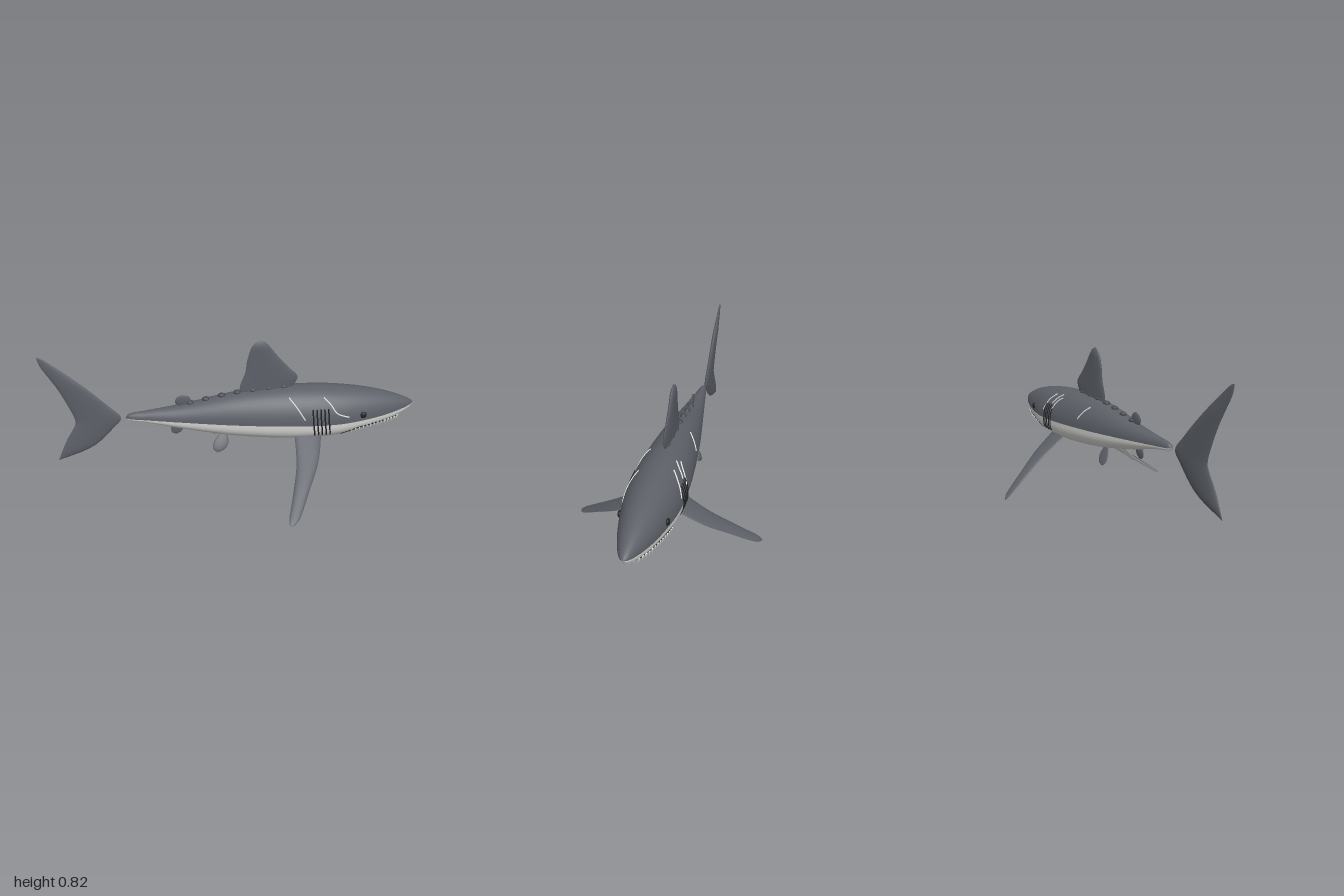
import * as THREE from 'three';

const mat = (name, color) => {
  const m = new THREE.MeshStandardMaterial({ color });
  m.name = name;
  return m;
};
const V3 = (x, y, z) => new THREE.Vector3(x, y, z);

// Body stations: x, top y, bottom y, half width, height of the colour line
const STATIONS = [
  [-0.578, 0.403, 0.403, 0, 0.403], [-0.56, 0.424, 0.39, 0.016, 0.402],
  [-0.47, 0.438, 0.377, 0.032, 0.398], [-0.27, 0.467, 0.333, 0.065, 0.39],
  [0, 0.52, 0.287, 0.108, 0.382], [0.28, 0.547, 0.264, 0.138, 0.376],
  [0.45, 0.548, 0.265, 0.144, 0.374], [0.58, 0.538, 0.276, 0.137, 0.375],
  [0.7, 0.522, 0.3, 0.116, 0.381], [0.8, 0.501, 0.325, 0.092, 0.389],
  [0.88, 0.478, 0.347, 0.067, 0.399], [0.95, 0.451, 0.376, 0.038, 0.41],
  [0.985, 0.432, 0.402, 0.017, 0.418], [0.996, 0.42, 0.42, 0, 0.42],
];

// Smooth interpolation through the stations
function profile(x) {
  const S = STATIONS, last = S.length - 1;
  let i = 0;
  while (i < last - 1 && x > S[i + 1][0]) i++;
  const h = S[i + 1][0] - S[i][0];
  const t = THREE.MathUtils.clamp((x - S[i][0]) / h, 0, 1);
  const slope = (k, c) => {
    const a = S[Math.max(k - 1, 0)], b = S[Math.min(k + 1, last)];
    return (b[c] - a[c]) / (b[0] - a[0]);
  };
  const [top, bottom, width, mid] = [1, 2, 3, 4].map((c) =>
    S[i][c] * (2 * t ** 3 - 3 * t * t + 1) + slope(i, c) * h * (t ** 3 - 2 * t * t + t) +
    S[i + 1][c] * (3 * t * t - 2 * t ** 3) + slope(i + 1, c) * h * (t ** 3 - t * t));
  return { top, bottom, width, mid };
}

// Point on the flank at a given x and y; side is +1 or -1
function onSkin(x, y, side) {
  const p = profile(x), up = y > p.mid, n = up ? 2 : 2.5;
  const s = Math.min(1, Math.abs(y - p.mid) / (up ? p.top - p.mid : p.mid - p.bottom));
  return V3(x, y, side * p.width * (1 - s ** n) ** (1 / n));
}

// Surface from a rule f(u, v)
function grid(nu, nv, f, flip = false) {
  const pos = [], index = [];
  for (let i = 0; i <= nu; i++)
    for (let j = 0; j <= nv; j++) pos.push(...f(i / nu, j / nv).toArray());
  for (let i = 0; i < nu; i++)
    for (let j = 0; j < nv; j++) {
      const a = i * (nv + 1) + j, b = a + nv + 1;
      if (flip) index.push(a, a + 1, b, b, a + 1, b + 1);
      else index.push(a, b, a + 1, b, b + 1, a + 1);
    }
  const g = new THREE.BufferGeometry();
  g.setAttribute('position', new THREE.Float32BufferAttribute(pos, 3));
  g.setIndex(index);
  g.computeVertexNormals();
  return g;
}

export function createModel() {
  const model = new THREE.Group();
  const back = mat('slate back', 0x5c6067);
  const belly = mat('pale belly', 0xd6d6d4);
  const ridge = mat('dark ridge', 0x494c53);
  const black = mat('black', 0x222326);
  const scarMat = mat('scar', 0xe4e4e2);
  const ivory = mat('ivory teeth', 0xeeece2);

  const add = (name, geometry, material, parent = model) => {
    const m = new THREE.Mesh(geometry, material);
    m.name = name;
    parent.add(m);
    return m;
  };

  // Body in two halves, split along the colour line
  const half = (from, n) => grid(72, 24, (u, v) => {
    const x = 0.209 - 0.787 * Math.cos(Math.PI * u);
    const p = profile(x), a = from + Math.PI * v, c = Math.cos(a), s = Math.sin(a);
    const h = from === 0 ? p.top - p.mid : p.mid - p.bottom;
    return V3(x, p.mid + h * Math.sign(s) * Math.abs(s) ** (2 / n),
      p.width * Math.sign(c) * Math.abs(c) ** (2 / n));
  });
  add('upperBody', half(0, 2), back);
  add('lowerBody', half(Math.PI, 2.5), belly);

  // Lens-section fin between a leading and a trailing edge, spanning along dir
  function fin(name, lead, trail, thick, mats = [back, back], origin = V3(0, 0, 0), dir = V3(0, 1, 0)) {
    const [a, b] = [lead, trail].map((e) => new THREE.SplineCurve(e.map((p) => new THREE.Vector2(...p))));
    const normal = V3(0, -dir.z, dir.y), g = new THREE.Group();
    g.name = name;
    [1, -1].forEach((sign, k) => add(k ? 'finSideB' : 'finSideA', grid(32, 10, (u, v) => {
      const p = a.getPoint(u), q = b.getPoint(u);
      const t = sign * thick * Math.min(1, p.distanceTo(q) / 0.1) * Math.sin(Math.PI * v);
      p.lerp(q, (1 - Math.cos(Math.PI * v)) / 2);
      return V3(p.x, 0, 0).add(origin).addScaledVector(dir, p.y).addScaledVector(normal, t);
    }, sign < 0), mats[k], g));
    model.add(g);
  }

  fin('dorsalFin',
    [[0.3, 0.52], [0.345, 0.6], [0.29, 0.665], [0.24, 0.72], [0.18, 0.795], [0.14, 0.817]],
    [[0.04, 0.51], [0.037, 0.56], [0.065, 0.64], [0.075, 0.71], [0.1, 0.785], [0.14, 0.817]], 0.013);
  fin('tailFin',
    [[-0.955, 0.16], [-0.765, 0.235], [-0.645, 0.345], [-0.602, 0.405], [-0.66, 0.475],
      [-0.79, 0.605], [-0.96, 0.752], [-1, 0.77]],
    [[-0.955, 0.16], [-0.9, 0.28], [-0.85, 0.365], [-0.843, 0.4], [-0.86, 0.46],
      [-0.915, 0.59], [-0.985, 0.715], [-1, 0.77]], 0.013);
  fin('secondDorsalFin',
    [[-0.225, 0.46], [-0.225, 0.49], [-0.24, 0.515], [-0.27, 0.527]],
    [[-0.28, 0.45], [-0.31, 0.48], [-0.3, 0.51], [-0.27, 0.527]], 0.009);
  fin('analFin',
    [[-0.31, 0.289], [-0.285, 0.302], [-0.272, 0.325], [-0.28, 0.355]],
    [[-0.31, 0.289], [-0.333, 0.3], [-0.338, 0.325], [-0.32, 0.36]], 0.009);

  // Paired fins, dark above and pale below
  for (const side of [1, -1]) {
    const label = side > 0 ? 'front' : 'back';
    const mats = side > 0 ? [belly, back] : [back, belly];
    fin(label + 'PectoralFin',
      [[0.475, -0.04], [0.435, 0.138], [0.365, 0.3], [0.295, 0.45], [0.245, 0.491]],
      [[0.325, -0.04], [0.315, 0.147], [0.275, 0.32], [0.24, 0.45], [0.245, 0.491]],
      0.012, mats, V3(0, 0.285, side * 0.112), V3(0, -0.58, side * 0.815));
    fin(label + 'PelvicFin',
      [[-0.035, -0.01], [-0.033, 0.04], [-0.055, 0.075], [-0.095, 0.09]],
      [[-0.08, -0.01], [-0.113, 0.035], [-0.116, 0.068], [-0.095, 0.09]],
      0.008, mats, V3(0, 0.295, side * 0.055), V3(0, -0.87, side * 0.5));
  }

  // Bumps along the spine
  for (let i = 0; i < 7; i++) {
    const x = -0.23 + i * 0.084;
    add('spineBump', new THREE.SphereGeometry(0.02, 16, 10), ridge)
      .position.set(x, profile(x).top + 0.002, 0);
    model.children.at(-1).scale.set(1.05, 0.65, 0.9);
  }

  // Thin line that follows the skin through x, y points
  const skinLine = (name, pts, side, radius, material) => {
    const flat = new THREE.SplineCurve(pts.map((p) => new THREE.Vector2(...p)));
    const path = new THREE.CatmullRomCurve3(flat.getPoints(10).map((p) => onSkin(p.x, p.y, side)));
    add(name, new THREE.TubeGeometry(path, 20, radius, 6), material);
  };

  for (const side of [1, -1]) {
    for (let i = 0; i < 5; i++) {
      const x = 0.412 + i * 0.021;
      skinLine('gillSlit', [[x, 0.462], [x + 0.004, 0.39], [x + 0.016, 0.312]], side, 0.004, black);
    }
    const eye = add('eye', new THREE.SphereGeometry(0.018, 20, 14), black);
    eye.position.copy(onSkin(0.69, 0.412, side));
    eye.scale.z = 0.6;
  }

  // Scars, different on each flank
  const scars = [
    [1, [[0.29, 0.517], [0.33, 0.47], [0.37, 0.41]]],
    [1, [[0.475, 0.513], [0.51, 0.48], [0.545, 0.435], [0.61, 0.41]]],
    [-1, [[0.07, 0.5], [0.1, 0.475], [0.135, 0.43]]],
    [-1, [[0.35, 0.51], [0.385, 0.485], [0.42, 0.43]]],
    [-1, [[0.37, 0.525], [0.4, 0.505], [0.43, 0.47]]],
    [-1, [[0.44, 0.52], [0.48, 0.485], [0.52, 0.42]]],
  ];
  for (const [side, pts] of scars) skinLine('scar', pts, side, 0.004, scarMat);

  // Mouth line wrapping under the snout
  const jaw = [[0.575, 0.303], [0.65, 0.333], [0.73, 0.347], [0.8, 0.354], [0.86, 0.358], [0.9, 0.361]];
  const mouth = new THREE.CatmullRomCurve3([
    ...jaw.map(([x, y]) => onSkin(x, y, 1)),
    V3(0.922, profile(0.922).bottom, 0),
    ...jaw.map(([x, y]) => onSkin(x, y, -1)).reverse(),
  ]);
  add('mouthLine', new THREE.TubeGeometry(mouth, 80, 0.004, 6), black);

  // Upper teeth, larger toward the front
  const count = 31;
  for (let i = 0; i < count; i++) {
    const u = 0.08 + 0.84 * i / (count - 1);
    const p = mouth.getPointAt(u);
    const size = 0.016 + 0.016 * (1 - Math.abs(u - 0.5) * 2) * (i % 2 ? 1 : 0.75);
    const tooth = add('tooth', new THREE.ConeGeometry(size * 0.27, size, 8), ivory);
    tooth.rotation.x = Math.PI;
    tooth.position.set(p.x, p.y - size * 0.4, p.z * 1.03);
  }
  return model;
}
